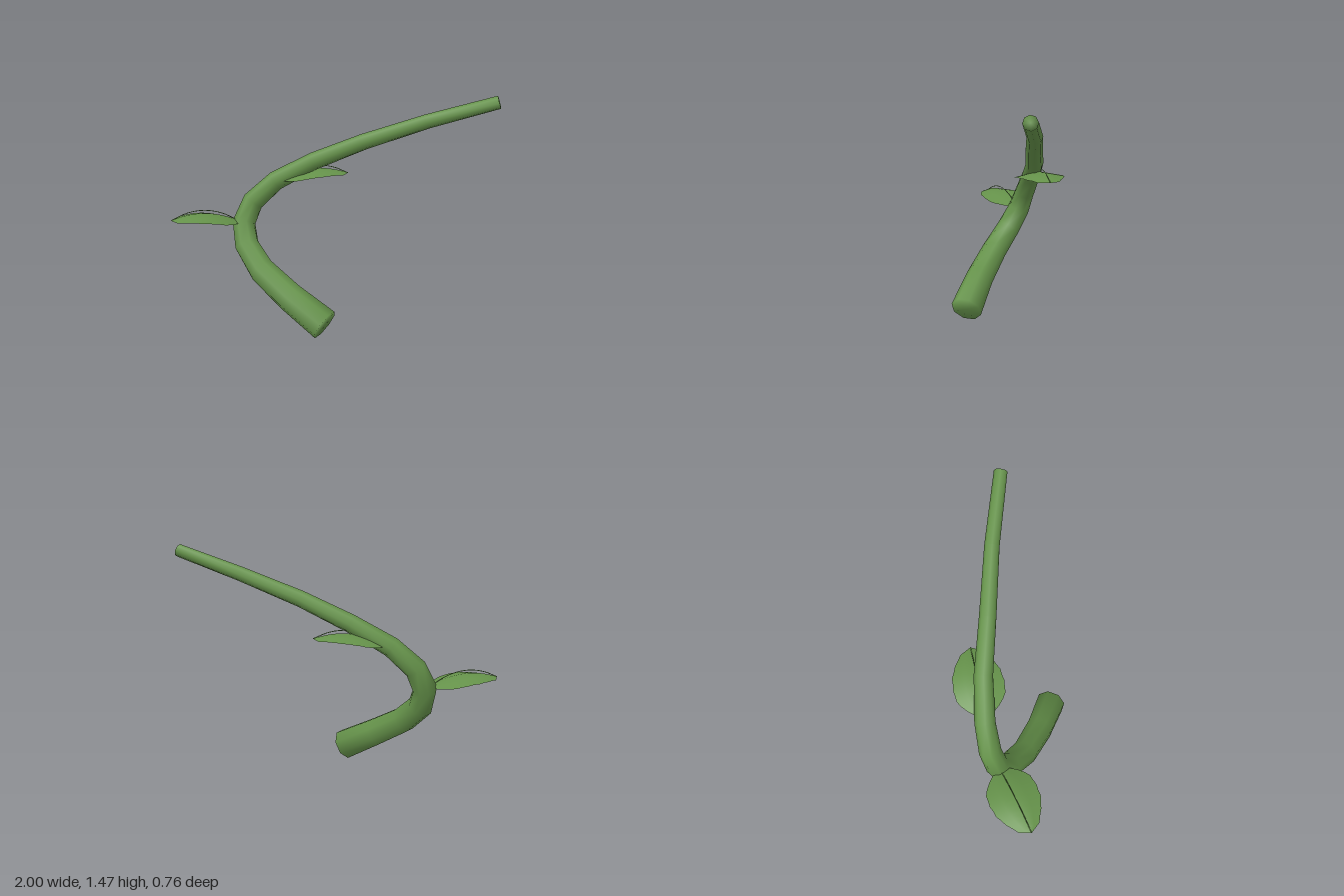
import * as THREE from 'three';

const green = new THREE.MeshStandardMaterial({ color: 0x65924a, side: THREE.DoubleSide });
green.name = 'leaf green';

function surface(name, positions, index) {
  const g = new THREE.BufferGeometry();
  g.setAttribute('position', new THREE.Float32BufferAttribute(positions, 3));
  g.setIndex(index);
  g.computeVertexNormals();
  const mesh = new THREE.Mesh(g, green);
  mesh.name = name;
  return mesh;
}

// Tapering eight-sided stem, rings carried along the path without twist
function makeStem() {
  const path = [
    [-0.1, 0.085, 0.295], [-0.29, 0.225, 0.135], [-0.445, 0.36, -0.03], [-0.522, 0.49, -0.165],
    [-0.53, 0.625, -0.25], [-0.465, 0.76, -0.27], [-0.315, 0.895, -0.25], [-0.075, 1.03, -0.175],
    [0.22, 1.165, -0.045], [0.59, 1.305, 0.11], [0.98, 1.435, 0.3],
  ].map((p) => new THREE.Vector3(...p));
  const radii = [0.103, 0.093, 0.086, 0.081, 0.076, 0.07, 0.064, 0.058, 0.052, 0.046, 0.041];
  const sides = 8, last = path.length - 1;
  const pos = [], index = [];
  const normal = new THREE.Vector3(0, 1, 0);
  path.forEach((p, i) => {
    const before = path[Math.max(i - 1, 0)], after = path[Math.min(i + 1, last)];
    const tangent = after.clone().sub(before).normalize();
    normal.addScaledVector(tangent, -normal.dot(tangent)).normalize();
    const side = tangent.clone().cross(normal);
    for (let k = 0; k < sides; k++) {
      const a = ((k + 0.5) / sides) * Math.PI * 2;
      const v = p.clone()
        .addScaledVector(normal, Math.cos(a) * radii[i])
        .addScaledVector(side, Math.sin(a) * radii[i]);
      pos.push(v.x, v.y, v.z);
    }
  });
  const startCentre = pos.length / 3;
  pos.push(...path[0].toArray(), ...path[last].toArray());
  for (let k = 0; k < sides; k++) {
    const n = (k + 1) % sides;
    for (let i = 0; i < last; i++) {
      const a = i * sides + k, b = i * sides + n;
      index.push(a, b, b + sides, a, b + sides, a + sides);
    }
    // End caps
    index.push(startCentre, n, k, startCentre + 1, last * sides + k, last * sides + n);
  }
  return surface('stem', pos, index);
}

// Arched leaf growing along x (dir = -1 or 1), with a slightly notched edge
function makeLeaf(name, base, dir) {
  const widths = [0.05, 0.095, 0.128, 0.15, 0.153, 0.158, 0.151, 0.15, 0.132, 0.118, 0.092, 0.07, 0];
  const rows = widths.length - 1;
  const length = 0.427;
  const midY = (t) => 0.03 * t + 0.19 * t * (1 - t);
  const pos = [], index = [];
  widths.forEach((w, i) => {
    const t = i / rows;
    for (let j = -2; j <= 2; j++) {
      const s = j / 2;
      pos.push(
        dir * (length * t - s * w * 0.118),
        midY(t) - 0.033 * Math.abs(s) * (w / 0.155),
        0.05 * t + s * w,
      );
    }
  });
  for (let i = 0; i < rows; i++) {
    for (let j = 0; j < 4; j++) {
      const a = i * 5 + j, b = a + 1, c = a + 5, d = a + 6;
      if (dir > 0) index.push(a, b, d, a, d, c);
      else index.push(a, d, b, a, c, d);
    }
  }
  const leaf = new THREE.Group();
  leaf.name = name;
  leaf.add(surface('blade', pos, index));

  // Fine midrib bowed just above the blade
  const points = [0, 0.2, 0.4, 0.6, 0.8, 1].map((t) => new THREE.Vector3(
    dir * length * t, midY(t) + 0.08 * t * (1 - t), 0.05 * t));
  const rib = new THREE.Mesh(
    new THREE.TubeGeometry(new THREE.CatmullRomCurve3(points), 16, 0.0025, 4), green);
  rib.name = 'midrib';
  leaf.add(rib);
  leaf.position.set(...base);
  return leaf;
}

export function createModel() {
  const model = new THREE.Group();
  model.name = 'vine';
  model.add(
    makeStem(),
    makeLeaf('lowerLeaf', [-0.573, 0.645, -0.24], -1),
    makeLeaf('upperLeaf', [-0.272, 0.912, -0.235], 1),
  );
  return model;
}
